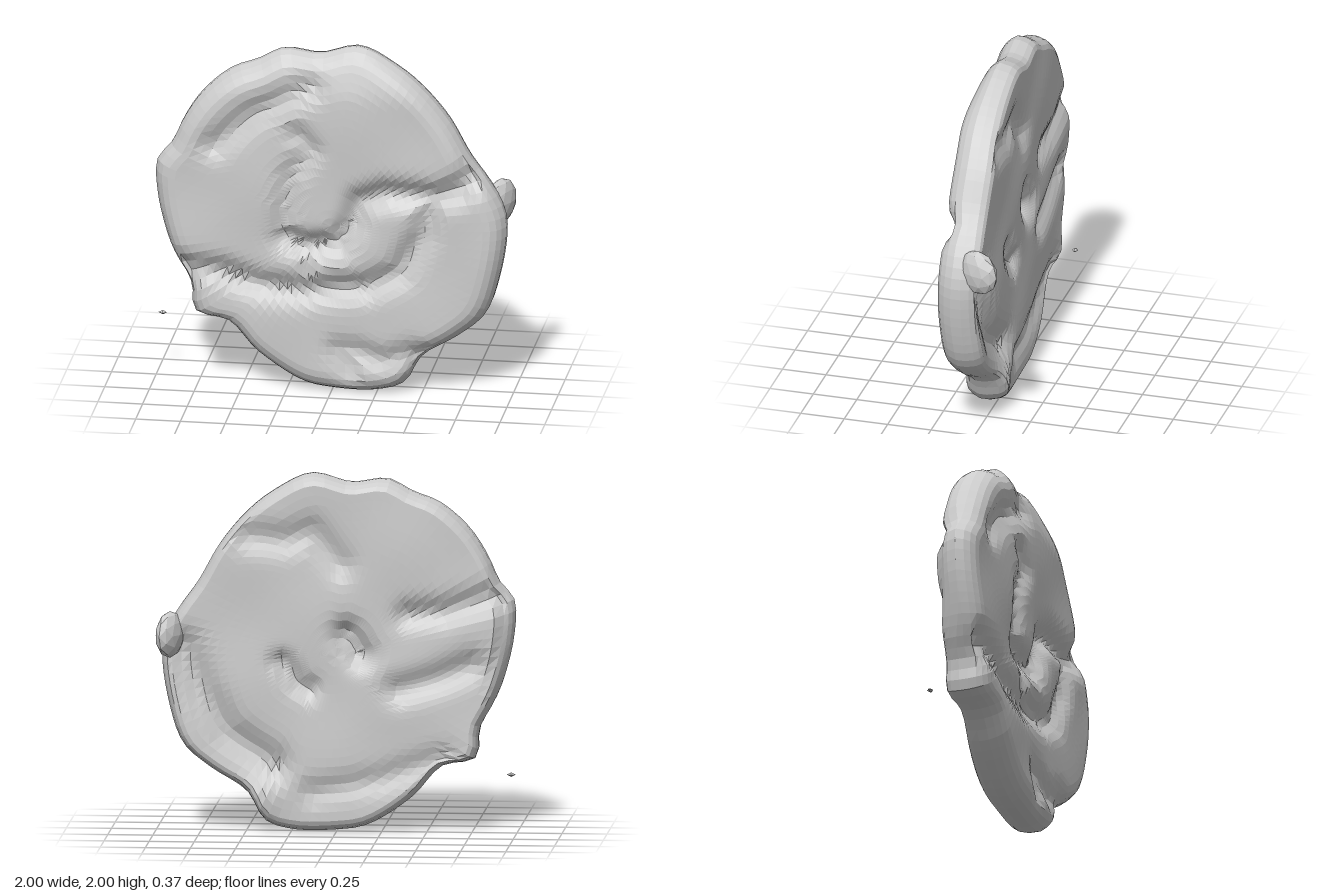
import * as THREE from 'three';

const CENTRE = [0, 0.98];

// Lumpy outline, counter-clockwise from the right
const OUTLINE = [
  [0.97, 1.0], [0.94, 1.13], [0.87, 1.25], [0.77, 1.39], [0.65, 1.6], [0.5, 1.78], [0.35, 1.9],
  [0.14, 2.0], [-0.08, 1.95], [-0.28, 1.97], [-0.42, 1.9], [-0.57, 1.84], [-0.73, 1.7],
  [-0.83, 1.55], [-0.9, 1.4], [-0.98, 1.3], [-0.98, 1.1], [-0.92, 0.85], [-0.87, 0.73],
  [-0.79, 0.58], [-0.77, 0.42], [-0.58, 0.37], [-0.42, 0.2], [-0.17, 0.04], [0, 0.01],
  [0.25, 0.01], [0.4, 0.06], [0.5, 0.22], [0.7, 0.35], [0.85, 0.48], [0.93, 0.7],
];

// Creases pressed into each face: depth, width, path
const FRONT = [
  { d: 0.07, w: 0.075, p: [[0.82, 1.34], [0.72, 1.23], [0.6, 1.18], [0.3, 1.18], [0.16, 1.12], [0.12, 1.0], [0.04, 0.88], [-0.15, 0.85], [-0.25, 0.9]] },
  { d: 0.06, w: 0.075, p: [[0.56, 1.14], [0.52, 0.95], [0.38, 0.72], [0.2, 0.63], [-0.15, 0.59], [-0.4, 0.61], [-0.6, 0.68], [-0.8, 0.69]] },
  { d: 0.04, w: 0.065, p: [[-0.18, 1.5], [-0.11, 1.42], [-0.23, 1.25], [-0.27, 0.95]] },
  { d: 0.03, w: 0.06, p: [[-0.14, 0.85], [-0.13, 0.62]] },
  { d: 0.05, w: 0.075, p: [[-0.65, 1.42], [-0.45, 1.6], [-0.25, 1.72], [-0.12, 1.78]] },
  { d: 0.04, w: 0.07, p: [[0.1, 0.15], [0.05, 0.25], [0.15, 0.25], [0.3, 0.2], [0.46, 0.26]] },
];
const BACK = [
  { d: 0.04, w: 0.08, p: [[0.48, 1.65], [0.29, 1.63], [0.13, 1.68], [-0.02, 1.5]] },
  { d: 0.08, w: 0.08, p: [[-0.06, 1.1], [-0.13, 1.0]] },
  { d: 0.05, w: 0.06, p: [[0.3, 0.95], [0.21, 0.83], [0.15, 0.8]] },
  { d: 0.05, w: 0.07, p: [[-0.4, 1.22], [-0.6, 1.24], [-0.95, 1.36]] },
  { d: 0.05, w: 0.08, p: [[-0.35, 0.8], [-0.55, 0.86], [-0.75, 0.94]] },
  { d: 0.06, w: 0.09, p: [[0.85, 1.02], [0.74, 0.78], [0.6, 0.55], [0.35, 0.38]] },
  { d: 0.03, w: 0.07, p: [[0.13, 0.22], [-0.25, 0.3], [-0.6, 0.43]] },
];

// Distance from a point to a polyline
function pathDistance(x, y, path) {
  let best = 9;
  for (let i = 0; i + 1 < path.length; i++) {
    const [ax, ay] = path[i];
    const dx = path[i + 1][0] - ax, dy = path[i + 1][1] - ay;
    const t = THREE.MathUtils.clamp(((x - ax) * dx + (y - ay) * dy) / (dx * dx + dy * dy), 0, 1);
    best = Math.min(best, Math.hypot(x - ax - t * dx, y - ay - t * dy));
  }
  return best;
}

const creaseDepth = (x, y, list) => list.reduce(
  (m, c) => Math.max(m, c.d * Math.exp(-((pathDistance(x, y, c.p) / c.w) ** 2))), 0);

// Cross-section from front centre round the rim to back centre: scale, z
function section() {
  const rings = [], steps = 18;
  for (let i = 0; i <= steps; i++) rings.push([0.88 * i / steps, 0.175]);
  rings.push([0.92, 0.168], [0.955, 0.148], [0.98, 0.118], [1, 0.075], [1, 0.02], [0.985, -0.03], [0.965, -0.058]);
  for (let i = steps; i >= 0; i--) rings.push([0.94 * i / steps, -0.07]);
  return rings;
}

function discGeometry() {
  const curve = new THREE.CatmullRomCurve3(OUTLINE.map(([x, y]) => new THREE.Vector3(x, y, 0)), true);
  const N = 100, rim = curve.getSpacedPoints(N).slice(0, N);
  const rings = section(), pos = [], index = [];
  const { smoothstep } = THREE.MathUtils;
  rings.forEach(([s, z0], i) => rim.forEach((p, j) => {
    const x = CENTRE[0] + (p.x - CENTRE[0]) * s;
    const y = CENTRE[1] + (p.y - CENTRE[1]) * s;
    const ripple = 0.007 * Math.sin(7 * x + 1) * Math.cos(8 * y);
    let z = z0;
    if (z0 > 0.05) {
      z += ripple - creaseDepth(x, y, FRONT) * (s > 0.97 ? 0.3 : 1);
      z -= 0.06 * smoothstep(y, 1.7, 2.02) * (z0 / 0.175);   // thinner top edge
    } else if (z0 < 0) {
      z += ripple + creaseDepth(x, y, BACK) * (s > 0.95 ? 0.3 : 1);
      z -= 0.03 * Math.exp(-(((x - 0.4) / 0.1) ** 2) - ((y - 0.19) / 0.1) ** 2);   // small lump at the foot
    }
    if (s > 0.9 && z0 < 0.05) z += 0.05 * smoothstep(-x, 0.82, 0.95);   // bevelled right-hand edge
    pos.push(x, y, z);
    if (i + 1 < rings.length) {
      const k = (j + 1) % N, a = i * N + j, b = a + N, c = (i + 1) * N + k, d = i * N + k;
      if (i > 0) index.push(a, c, d);
      if (i + 2 < rings.length) index.push(a, b, c);
    }
  }));
  const g = new THREE.BufferGeometry();
  g.setAttribute('position', new THREE.Float32BufferAttribute(pos, 3));
  g.setIndex(index);
  g.computeVertexNormals();
  return g;
}

export function createModel() {
  const model = new THREE.Group();
  model.name = 'lumpyDisc';
  const material = new THREE.MeshStandardMaterial({ color: 0xcccccc, flatShading: true });
  const add = (name, geometry) => {
    const mesh = new THREE.Mesh(geometry, material);
    mesh.name = name;
    model.add(mesh);
    return mesh;
  };

  add('disc', discGeometry());

  // Knob curling back and outward from the left rim
  const knob = add('rimKnob', new THREE.IcosahedronGeometry(1, 1));
  knob.scale.set(0.062, 0.13, 0.13);
  knob.rotation.y = -0.4;
  knob.position.set(0.92, 1.1, -0.07);

  // Loose crumb beside the right edge
  const crumb = add('crumb', new THREE.OctahedronGeometry(1));
  crumb.scale.set(0.025, 0.012, 0.018);
  crumb.position.set(-0.975, 0.34, -0.08);

  return model;
}
